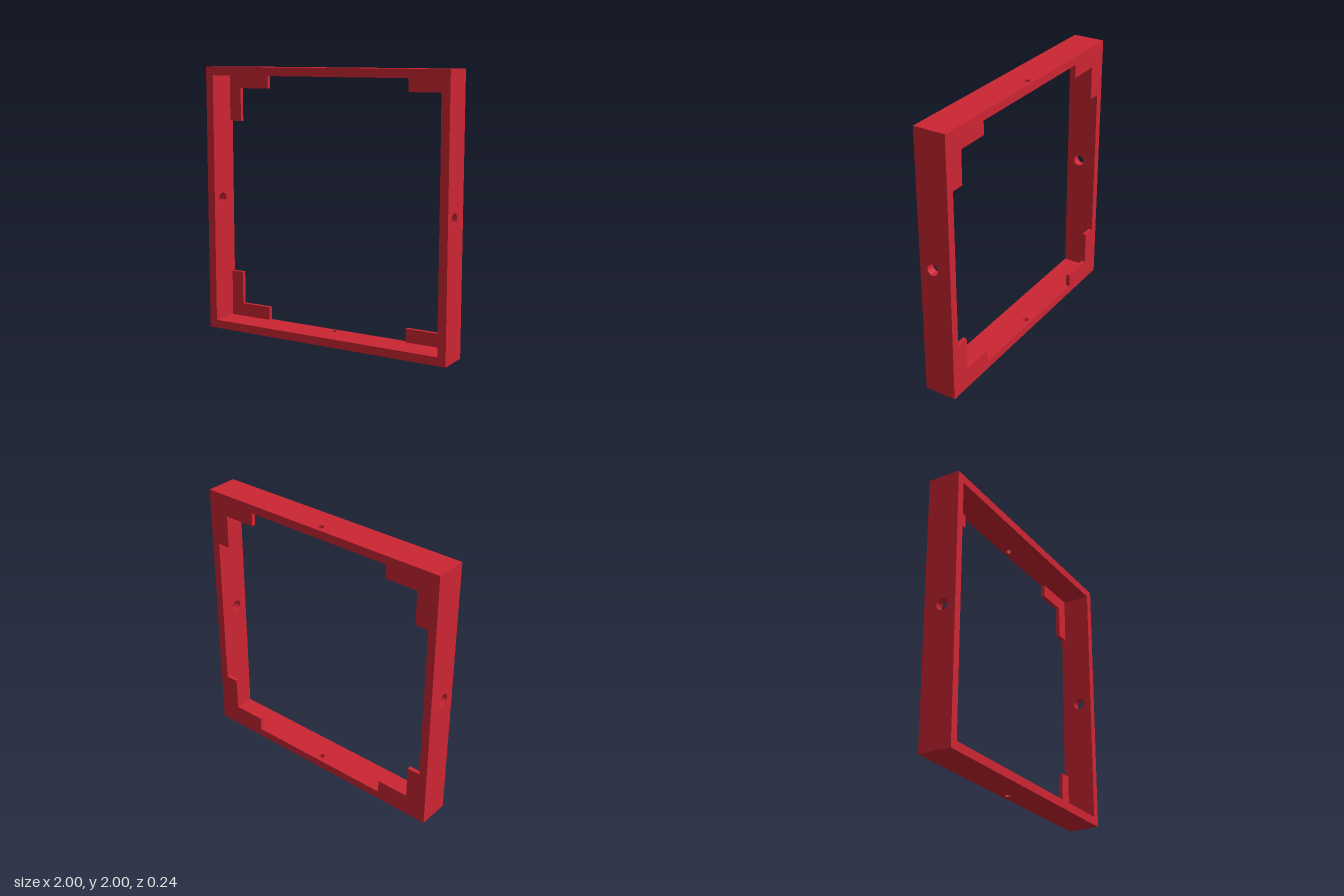
import * as THREE from 'three';
import { toCreasedNormals } from 'three/addons/utils/BufferGeometryUtils.js';

const T = 0.0625;      // wall thickness
const D = 0.24;        // frame depth
const TAB_T = 0.03;    // corner tab thickness
const TAB_W = 0.1;     // corner tab width
const TAB_L = 0.35;    // corner tab arm length

// Flat wall lying on y = 0: length along x, depth along z, with one drilled hole
function wallGeometry(length, holeZ, holeRadius) {
  const s = new THREE.Shape();
  s.moveTo(-length / 2, -D / 2);
  s.lineTo(length / 2, -D / 2);
  s.lineTo(length / 2, D / 2);
  s.lineTo(-length / 2, D / 2);
  s.closePath();
  const hole = new THREE.Path();
  hole.absarc(0, -holeZ, holeRadius, 0, Math.PI * 2, true);
  s.holes.push(hole);
  const g = new THREE.ExtrudeGeometry(s, { depth: T, bevelEnabled: false, curveSegments: 40 });
  g.rotateX(-Math.PI / 2);
  return toCreasedNormals(g, 0.6);
}

// L-shaped tab outline fitted into one inner corner
function tabGeometry(sx, sy) {
  const a = 1 - T;
  const pts = [
    [a, a], [a - TAB_L, a], [a - TAB_L, a - TAB_W],
    [a - TAB_W, a - TAB_W], [a - TAB_W, a - TAB_L], [a, a - TAB_L],
  ].map(([x, y]) => new THREE.Vector2(x * sx, y * sy));
  const g = new THREE.ExtrudeGeometry(new THREE.Shape(pts), { depth: TAB_T, bevelEnabled: false });
  return g.translate(0, 1, -D / 2);
}

export function createModel() {
  const model = new THREE.Group();
  model.name = 'squareFrame';
  const material = new THREE.MeshStandardMaterial({ color: 0xcc2533 });
  const add = (name, geometry) => {
    const mesh = new THREE.Mesh(geometry, material);
    mesh.name = name;
    model.add(mesh);
  };

  // Top and bottom walls with small holes near the back
  const inner = 2 - 2 * T;
  add('bottomWall', wallGeometry(inner, -0.07, 0.024));
  add('topWall', wallGeometry(inner, -0.07, 0.024).translate(0, 2 - T, 0));

  // Full-height side walls with larger holes
  const side = () => wallGeometry(2, 0.02, 0.043).rotateZ(Math.PI / 2);
  add('leftWall', side().translate(1, 1, 0));
  add('rightWall', side().translate(-1 + T, 1, 0));

  // Corner tabs flush with the back
  for (const [sx, h] of [[1, 'Left'], [-1, 'Right']])
    for (const [sy, v] of [[1, 'top'], [-1, 'bottom']])
      add(`${v}${h}CornerTab`, tabGeometry(sx, sy));

  return model;
}
